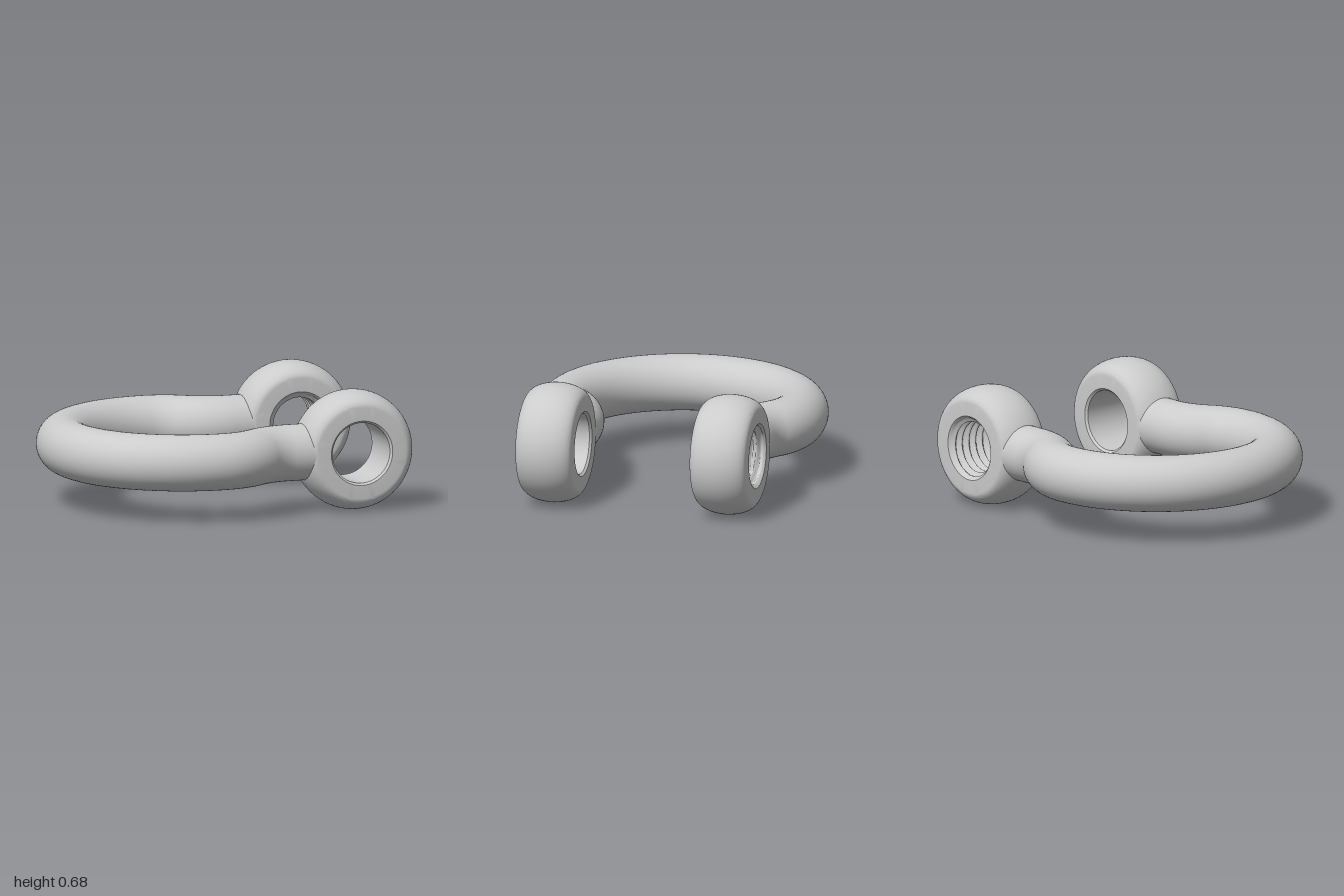
import * as THREE from 'three';
import { toCreasedNormals } from 'three/addons/utils/BufferGeometryUtils.js';

const AXIS_Y = 0.34;      // height of the centre plane
const EYE_X = 0.66;       // centre of both eyes
const EYE_Z = 0.51;       // distance of each eye from the middle
const HALF = 0.162;       // half the thickness of an eye
const BORE = 0.172;       // radius of the plain hole

const material = new THREE.MeshStandardMaterial({ color: 0xcccccc });

// Round bow: a half circle that bends back through an S into two parallel necks
function bowGeometry() {
  const cx = -0.175, R = 0.665, neckX = 0.28, endX = 0.46;
  const drop = R - EYE_Z, run = neckX - cx;
  const a = 2 * Math.atan(drop / run);
  const r = run / Math.sin(a) / 2;
  const q = Math.PI / 2;

  const path = new THREE.Path();
  path.moveTo(endX, EYE_Z);
  path.lineTo(neckX, EYE_Z);
  path.absarc(neckX, EYE_Z + r, r, -q, -q - a, true);
  path.absarc(cx, R - r, r, q - a, q, false);
  path.absarc(cx, 0, R, q, 3 * q, false);
  path.absarc(cx, r - R, r, -q, a - q, false);
  path.absarc(neckX, -EYE_Z - r, r, q + a, q, true);
  path.lineTo(endX, -EYE_Z);

  const points = path.getSpacedPoints(120).map(p => new THREE.Vector3(p.x, 0, p.y));
  return new THREE.TubeGeometry(new THREE.CatmullRomCurve3(points), 180, 0.16, 48, false);
}

// Barrel-shaped eye with a chamfered hole, plain or with a helical thread
function eyeGeometry(threaded) {
  const profile = [new THREE.Vector2(0.184, -HALF)];
  for (let i = 0; i <= 28; i++) {
    const t = -Math.PI / 2 + Math.PI * i / 28;
    profile.push(new THREE.Vector2(0.26 + 0.08 * Math.cos(t), HALF * Math.sin(t)));
  }
  profile.push(new THREE.Vector2(0.184, HALF));
  const rows = threaded ? 84 : 1, boreHalf = HALF - 0.012;
  for (let i = 0; i <= rows; i++) {
    profile.push(new THREE.Vector2(BORE, boreHalf * (1 - 2 * i / rows)));
  }
  profile.push(new THREE.Vector2(0.184, -HALF));

  const geometry = new THREE.LatheGeometry(profile, 72);
  if (threaded) {
    const pos = geometry.attributes.position, pitch = 0.05, depth = 0.025;
    for (let i = 0; i < pos.count; i++) {
      const x = pos.getX(i), y = pos.getY(i), z = pos.getZ(i);
      const radius = Math.hypot(x, z);
      if (radius > BORE + 0.001) continue;
      const fade = Math.min(1, (boreHalf - Math.abs(y)) / 0.02);
      const wave = 0.5 + 0.5 * Math.cos(2 * Math.PI * y / pitch - Math.atan2(x, z));
      const k = (BORE - depth * fade * wave) / radius;
      pos.setXYZ(i, x * k, y, z * k);
    }
  }
  geometry.rotateX(Math.PI / 2);
  return toCreasedNormals(geometry, 0.65);
}

export function createModel() {
  const group = new THREE.Group();
  group.name = 'shackle';

  const add = (name, geometry, x, z) => {
    const mesh = new THREE.Mesh(geometry, material);
    mesh.name = name;
    mesh.position.set(x, AXIS_Y, z);
    group.add(mesh);
  };

  add('bow', bowGeometry(), 0, 0);
  add('plainEye', eyeGeometry(false), EYE_X, EYE_Z);
  add('threadedEye', eyeGeometry(true), EYE_X, -EYE_Z);
  return group;
}
